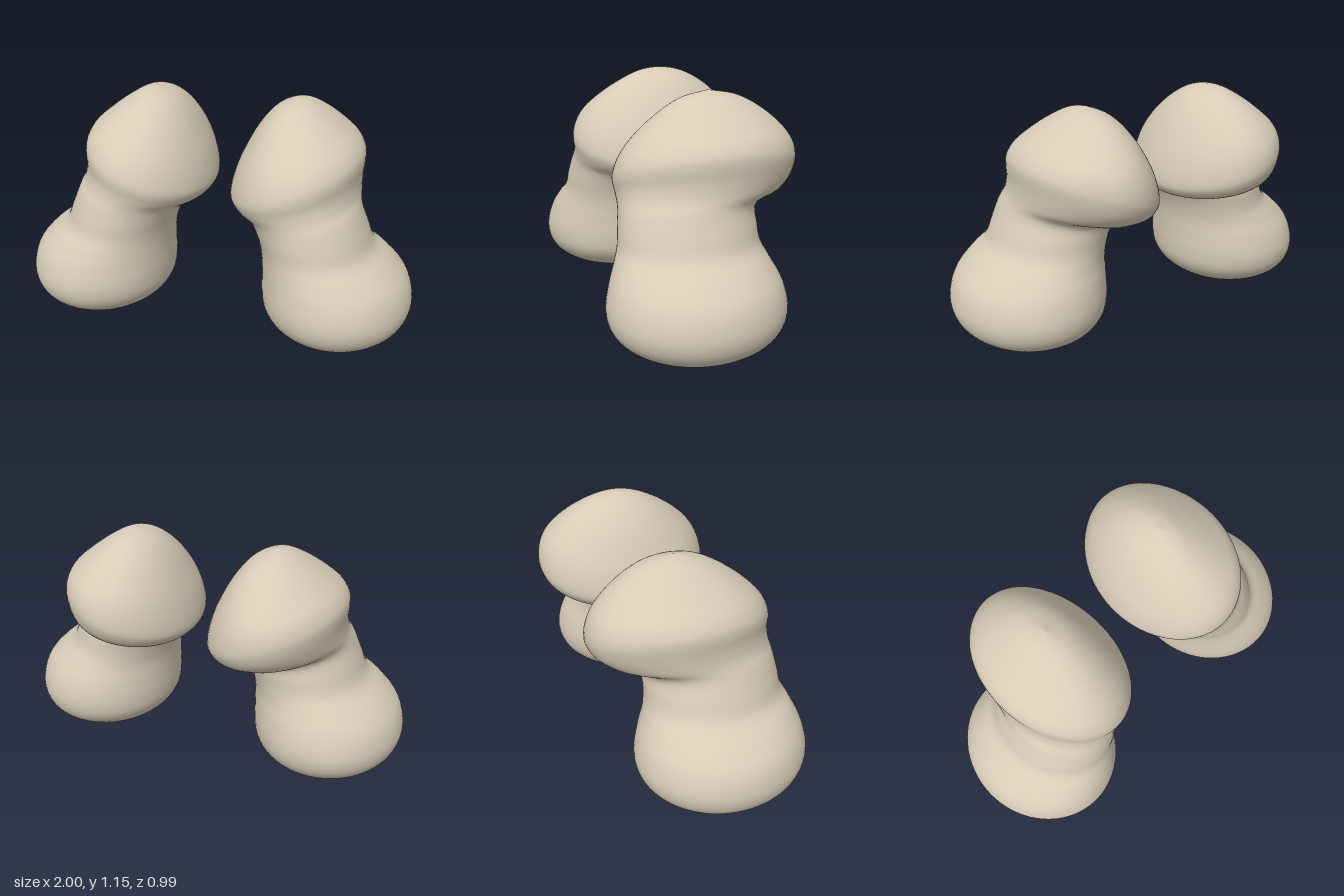
import * as THREE from 'three';

// Tilted oval rings, foot to crown: inner x,y | outer x,y | front z, back z
const RINGS = [
  [.252, .24, 1.0, .22, .495, -.345],
  [.25, .34, .97, .33, .473, -.322],
  [.245, .42, .89, .42, .438, -.283],
  [.235, .48, .80, .49, .41, -.26],
  [.215, .54, .76, .58, .40, -.254],
  [.19, .585, .72, .68, .388, -.262],
  [.15, .605, .703, .74, .382, -.39],
  [.09, .63, .70, .81, .382, -.46],
  [.058, .67, .705, .88, .39, -.488],
  [.055, .71, .70, .92, .385, -.493],
  [.075, .80, .67, .97, .355, -.48],
  [.11, .89, .60, 1.03, .29, -.435],
  [.18, 1.02, .51, 1.095, .17, -.33],
  [.26, 1.11, .43, 1.14, .05, -.21],
  [.36, 1.155, .36, 1.155, -.07, -.07],
];

// Rounded underside: the widest ring shrinks along a superellipse to the floor
function soleRings(steps) {
  const [xi, yi, xo, yo, zf, zb] = RINGS[0];
  const x = (xi + xo) / 2, z = (zf + zb) / 2;
  return Array.from({ length: steps }, (_, i) => {
    const a = (i / steps) * Math.PI / 2;
    const k = Math.sin(a) ** 0.83, lift = 1 - Math.cos(a) ** 0.83;
    return [x + (xi - x) * k, yi * lift, x + (xo - x) * k, yo * lift, z + (zf - z) * k, z + (zb - z) * k];
  });
}

// Point on a ring at angle a (0 = outer side, 90 degrees = front)
function ringPoint([xi, yi, xo, yo, zf, zb], a) {
  const c = Math.cos(a), s = Math.sin(a);
  return new THREE.Vector3(
    (xi + xo) / 2 + c * (xo - xi) / 2,
    (yi + yo) / 2 + c * (yo - yi) / 2,
    (zf + zb) / 2 + s * (zf - zb) / 2
  );
}

// Smooth loft through all rings; side is 1 for left, -1 for right
function loftGeometry(side) {
  const around = 72, rows = 95, pos = [], index = [];
  const rings = [...soleRings(6), ...RINGS];
  for (let i = 0; i < around; i++) {
    const a = (i / around) * Math.PI * 2;
    const curve = new THREE.CatmullRomCurve3(rings.map(r => ringPoint(r, a)));
    for (let j = 0; j <= rows; j++) {
      const p = curve.getPoint(j / rows);
      pos.push(p.x * side, Math.max(0, p.y), p.z);
    }
  }
  for (let i = 0; i < around; i++) {
    for (let j = 0; j < rows; j++) {
      const a = i * (rows + 1) + j, b = ((i + 1) % around) * (rows + 1) + j;
      for (const [p, q, r] of [[a, a + 1, b], [b, a + 1, b + 1]]) {
        index.push(...(side > 0 ? [p, q, r] : [p, r, q]));
      }
    }
  }
  const geo = new THREE.BufferGeometry();
  geo.setAttribute('position', new THREE.Float32BufferAttribute(pos, 3));
  geo.setIndex(index);
  geo.computeVertexNormals();
  return geo;
}

export function createModel() {
  const group = new THREE.Group();
  const beige = new THREE.MeshStandardMaterial({ color: 0xd8ccb8 });
  beige.name = 'beige';

  // Mirrored pair: wide foot, waisted stem and overhanging cap in one skin
  for (const [name, side] of [['leftCappedStem', 1], ['rightCappedStem', -1]]) {
    const mesh = new THREE.Mesh(loftGeometry(side), beige);
    mesh.name = name;
    group.add(mesh);
  }
  return group;
}
